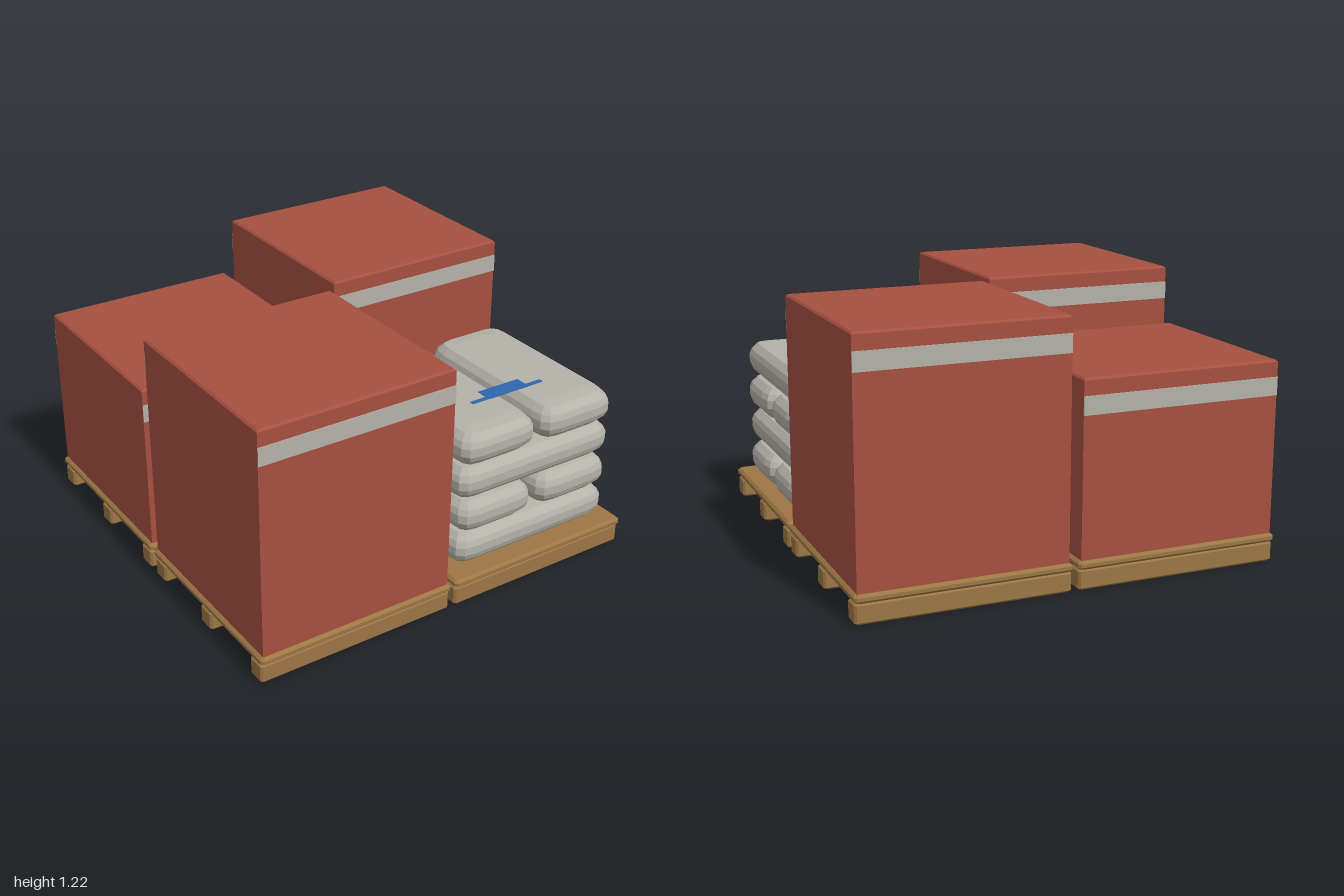
import * as THREE from 'three';

const mat = (name, color) => Object.assign(new THREE.MeshStandardMaterial({ color }), { name });

// Closed faceted solid from stacked rounded-rectangle rings.
// profile: [inset, y, cornerScale], bottom to top; corner: offsets from the plan corner.
function loft(w, d, profile, corner) {
  const rings = profile.map(([inset, y, k = 1]) => {
    const pts = [];
    [[1, 1], [-1, 1], [-1, -1], [1, -1]].forEach(([sx, sz], q) => {
      const list = q % 2 ? [...corner].reverse() : corner;
      for (const [ox, oz] of list)
        pts.push([sx * (w / 2 - inset - ox * k), y, sz * (d / 2 - inset - oz * k)]);
    });
    return pts;
  });
  const n = rings[0].length, pos = [];
  const tri = (...p) => p.forEach((v) => pos.push(...v));
  for (let r = 0; r < rings.length - 1; r++) {
    const lo = rings[r], up = rings[r + 1];
    for (let i = 0; i < n; i++) {
      const j = (i + 1) % n;
      tri(lo[i], up[i], lo[j]);
      tri(lo[j], up[i], up[j]);
    }
  }
  const bottom = rings[0], top = rings[rings.length - 1];
  for (let i = 0; i < n; i++) {
    const j = (i + 1) % n;
    tri([0, bottom[0][1], 0], bottom[i], bottom[j]);
    tri([0, top[0][1], 0], top[j], top[i]);
  }
  const g = new THREE.BufferGeometry();
  g.setAttribute('position', new THREE.Float32BufferAttribute(pos, 3));
  g.computeVertexNormals();
  return g;
}

// Box standing on y = 0 with chamfered edges
const chamferBox = (w, h, d, c) =>
  loft(w, d, [[c, 0], [0, c], [0, h - c], [c, h]], [[0, c], [c, 0]]);

export function createModel() {
  const red = mat('cartonRed', 0xa65040);
  const wood = mat('palletWood', 0x9c7645);
  const grey = mat('sackGrey', 0xb4b2a9);
  const blue = mat('printBlue', 0x2f66b0);

  const model = new THREE.Group();
  model.name = 'loadedPallets';
  const add = (parent, name, geo, material, x = 0, y = 0, z = 0) => {
    const m = new THREE.Mesh(geo, material);
    m.name = name;
    m.position.set(x, y, z);
    parent.add(m);
    return m;
  };

  const C = 0.506, DECK_TOP = 0.135;
  const deckGeo = chamferBox(0.986, 0.04, 0.986, 0.012);
  const beamGeo = chamferBox(0.98, 0.095, 0.094, 0.01);

  // Pallet: deck on three runners
  function pallet(x, z) {
    const g = new THREE.Group();
    g.name = 'pallet';
    g.position.set(x, 0, z);
    add(g, 'deck', deckGeo, wood, 0, 0.095, 0);
    for (const bz of [-0.434, 0, 0.434]) add(g, 'runner', beamGeo, wood, 0, 0, bz);
    model.add(g);
    return g;
  }

  // Wrapped carton with a band on its front and back
  function carton(parent, top) {
    const h = top - DECK_TOP, w = 0.955;
    const geo = loft(w, w, [[0, 0], [0, h - 0.009], [0.009, h]], [[0, 0]]);
    add(parent, 'carton', geo, red, 0, DECK_TOP, 0);
    for (const s of [-1, 1])
      add(parent, 'cartonBand', new THREE.BoxGeometry(w, 0.084, 0.006), grey, 0, top - 0.118, s * (w / 2 + 0.001));
  }

  carton(pallet(-C, C), 1.215);
  carton(pallet(C, -C), 1.215);
  carton(pallet(-C, -C), 0.94);

  // Sacks: four crossed layers of two
  const sackPallet = pallet(C, C);
  const sackGeo = loft(0.42, 0.885, [
    [0.1, 0, 0.4], [0.04, 0.008, 0.7], [0.01, 0.038], [0, 0.066],
    [0, 0.106], [0.01, 0.134], [0.04, 0.164, 0.7], [0.1, 0.172, 0.4],
  ], [[0, 0.1], [0.008, 0.045], [0.035, 0.012], [0.1, 0]]);
  for (let layer = 0; layer < 4; layer++) {
    const alongX = layer % 2 === 0;
    for (const s of [-1, 1]) {
      const o = s * 0.224;
      const sack = add(sackPallet, 'sack', sackGeo, grey,
        alongX ? 0 : o, DECK_TOP + 0.002 + layer * 0.172, alongX ? o : 0);
      if (alongX) sack.rotation.y = Math.PI / 2;
    }
  }

  // Flat blue marking across the top two sacks
  const markY = DECK_TOP + 0.002 + 4 * 0.172 + 0.001;
  add(sackPallet, 'markingBar', new THREE.BoxGeometry(0.405, 0.004, 0.022), blue, -0.006, markY, 0.187);
  add(sackPallet, 'markingBlock', new THREE.BoxGeometry(0.23, 0.004, 0.058), blue, -0.003, markY, 0.147);

  return model;
}
